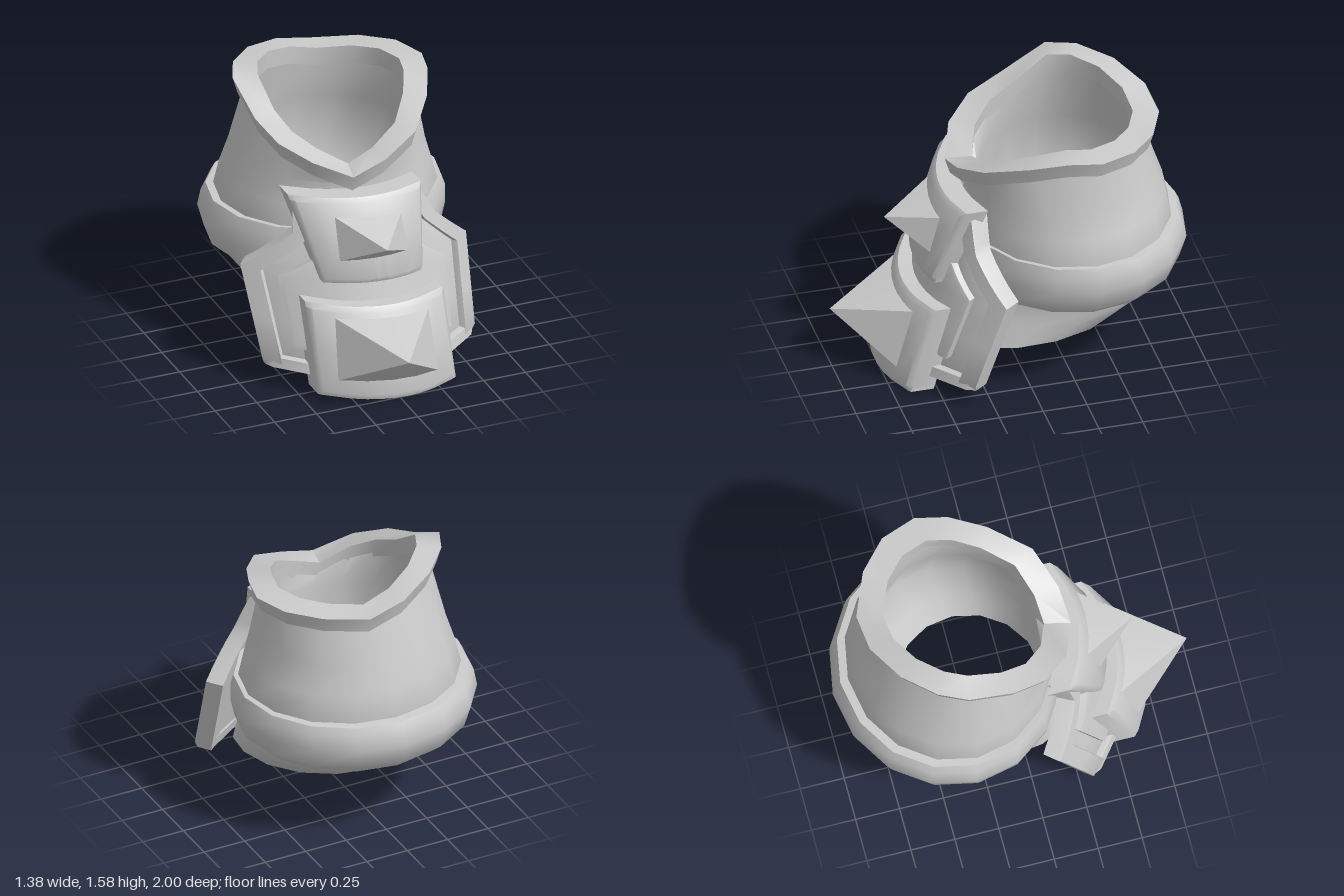
import * as THREE from 'three';
import { toCreasedNormals } from 'three/addons/utils/BufferGeometryUtils.js';

const material = new THREE.MeshStandardMaterial({ color: 0xcccccc });
const SIDES = 16;

function addMesh(group, name, geometry, crease = 0.7) {
  const mesh = new THREE.Mesh(toCreasedNormals(geometry, crease), material);
  mesh.name = name;
  group.add(mesh);
}

// Skin a list of equal-length closed rings; wrap joins the last ring to the first.
function loft(rings, wrap) {
  const n = rings[0].length, pos = rings.flat(2), index = [];
  const bands = wrap ? rings.length : rings.length - 1;
  for (let i = 0; i < bands; i++) {
    for (let j = 0; j < n; j++) {
      const k = ((i + 1) % rings.length) * n, j2 = (j + 1) % n;
      const a = i * n + j, b = i * n + j2, c = k + j, d = k + j2;
      index.push(a, c, b, b, c, d);
    }
  }
  const g = new THREE.BufferGeometry();
  g.setAttribute('position', new THREE.Float32BufferAttribute(pos, 3));
  g.setIndex(index);
  return g;
}

// Tilted oval ring, starting at the front and running toward +x; droop lowers its front.
function oval(yFront, yBack, zFront, zBack, xLow, xHigh, droop = 0) {
  return Array.from({ length: SIDES }, (_, j) => {
    const t = (j / SIDES) * Math.PI * 2, f = (1 + Math.cos(t)) / 2;
    return [(xLow + xHigh) / 2 + Math.sin(t) * (xHigh - xLow) / 2,
      yBack + (yFront - yBack) * f - droop * f ** 4, zBack + (zFront - zBack) * f];
  });
}

// Top collar outline: x, y, z
const collar = [
  [-0.1, 1.19, 0.33], [0.1, 1.25, 0.31], [0.32, 1.34, 0.22], [0.48, 1.42, 0.0],
  [0.57, 1.475, -0.2], [0.61, 1.475, -0.38], [0.54, 1.475, -0.58], [0.38, 1.465, -0.73],
  [0.14, 1.45, -0.83], [-0.08, 1.5, -0.81], [-0.3, 1.55, -0.69], [-0.46, 1.575, -0.52],
  [-0.53, 1.565, -0.36], [-0.505, 1.43, -0.1], [-0.45, 1.36, 0.1], [-0.31, 1.285, 0.25],
];
const collarRing = (scale, dy) => collar.map(([x, y, z]) =>
  [0.02 + (x - 0.02) * scale, y + dy, -0.26 + (z + 0.26) * scale]);

// Curved, leaning surface that all the front plates follow.
const surface = (x, y, off) => 0.68 + off - 0.31 * y - 0.75 * x * x;

// Curved plate through rows of [y, xLow, xHigh], top to bottom, with a chamfered front edge.
// splay turns the side walls from straight back toward the surface normal.
function plate(rows, off, thick, { tilt = 0, sag = 0, bevel = 0.02, splay = 0 } = {}) {
  const nx = 10, ny = (rows.length - 1) * 4;
  const g = new THREE.BoxGeometry(1, 1, 1, nx, ny, 1), p = g.attributes.position;
  for (let i = 0; i < p.count; i++) {
    const col = Math.round((p.getX(i) + 0.5) * nx), row = Math.round((0.5 - p.getY(i)) * ny);
    let a = col / nx, t = row / 4;
    if (col === 1) a = 0.03;
    if (col === nx - 1) a = 0.97;
    if (row === 1) t = 0.06;
    if (row === ny - 1) t = rows.length - 1.06;
    const r = Math.min(Math.floor(t), rows.length - 2), f = t - r;
    const [y0, l, h] = rows[r].map((v, k) => v + (rows[r + 1][k] - v) * f);
    const x = l + (h - l) * a, y = y0 + tilt * x + sag * x * x;
    const edge = col === 0 || col === nx || row === 0 || row === ny;
    const depth = p.getZ(i) < 0 ? thick : edge ? bevel : 0;
    const n = new THREE.Vector2(splay * x, 1).normalize().multiplyScalar(depth);
    p.setXYZ(i, x - n.x, y, surface(x, y, off) - n.y);
  }
  return g;
}

// Four-sided spike whose base edges hug the curved plate.
function spike(corners, apex, off) {
  const loop = [], steps = 4;
  corners.forEach(([x, y], i) => {
    const [x2, y2] = corners[(i + 1) % 4];
    for (let s = 0; s < steps; s++) {
      const px = x + (x2 - x) * s / steps, py = y + (y2 - y) * s / steps;
      loop.push([px, py, surface(px, py, off)]);
    }
  });
  const pos = [];
  loop.forEach((v, i) => pos.push(...v, ...loop[(i + 1) % loop.length], ...apex));
  const g = new THREE.BufferGeometry();
  g.setAttribute('position', new THREE.Float32BufferAttribute(pos, 3));
  return g;
}

export function createModel() {
  const model = new THREE.Group();
  model.name = 'armourCuff';

  // Flared rim around the top opening
  addMesh(model, 'collar', loft([
    collarRing(1, 0), collarRing(0.95, -0.095), collarRing(0.76, -0.1), collarRing(0.75, 0.01),
  ], true));

  // Hollow sleeve: bulging outer wall down to the lower cuff, then the inner wall back up
  addMesh(model, 'sleeve', loft([
    collarRing(0.85, -0.06),
    oval(1.1, 1.14, 0.21, -0.825, -0.535, 0.555),
    oval(0.96, 0.98, 0.23, -0.88, -0.58, 0.6),
    oval(0.82, 0.84, 0.24, -0.91, -0.61, 0.64),
    oval(0.5, 0.51, 0.24, -0.87, -0.58, 0.6),
    oval(0.42, 0.43, 0.3, -0.77, -0.52, 0.58),
    oval(0.29, 0.37, 0.42, -0.67, -0.47, 0.56, 0.1),
    oval(0.33, 0.41, 0.18, -0.62, -0.37, 0.39),
    oval(0.5, 0.56, 0.17, -0.7, -0.44, 0.46),
    oval(0.75, 0.75, 0.18, -0.82, -0.54, 0.56),
    oval(1.08, 1.14, 0.16, -0.75, -0.47, 0.5),
    collarRing(0.77, -0.05),
  ], false), 0.9);

  // Thick band around the sleeve
  addMesh(model, 'belt', loft([
    oval(0.83, 0.83, 0.2, -0.88, -0.58, 0.6),
    oval(0.84, 0.82, 0.26, -0.955, -0.65, 0.67),
    oval(0.78, 0.78, 0.27, -0.975, -0.675, 0.69),
    oval(0.67, 0.69, 0.28, -1.0, -0.69, 0.69),
    oval(0.57, 0.56, 0.27, -0.96, -0.66, 0.66),
    oval(0.53, 0.5, 0.24, -0.89, -0.6, 0.61),
    oval(0.54, 0.52, 0.18, -0.8, -0.52, 0.52),
  ], true));

  // Recessed backing plate with a raised border and inner panel
  const outline = [[1.03, -0.42, 0.31], [0.85, -0.44, 0.41], [0.61, -0.69, 0.64], [0.09, -0.64, 0.62]];
  const bow = { tilt: -0.02, sag: 0.09, splay: 1.2 };
  addMesh(model, 'backingPlate', plate(
    outline.map(([y, l, h]) => [y, l + 0.03, h - 0.03]), -0.045, 0.055, bow));
  addMesh(model, 'borderRight', plate(outline.map(([y, l]) => [y, l, l + 0.09]), 0, 0.105, bow));
  addMesh(model, 'borderLeft', plate(outline.map(([y, , h]) => [y, h - 0.09, h]), 0, 0.105, bow));
  addMesh(model, 'borderBottom', plate([[0.15, -0.635, 0.615], [0.085, -0.635, 0.615]], 0, 0.105, bow));
  addMesh(model, 'innerPanel', plate(
    [[0.95, -0.25, 0.18], [0.74, -0.33, 0.27], [0.59, -0.53, 0.45], [0.22, -0.49, 0.43]],
    0.0, 0.06, { ...bow, bevel: 0.005 }));

  // Two overlapping front plates, each with a spike
  addMesh(model, 'upperPlate', plate([[1.085, -0.45, 0.31], [0.625, -0.33, 0.25]], 0.06, 0.14,
    { tilt: -0.03, sag: 0.04 }));
  addMesh(model, 'upperSpike', spike(
    [[-0.24, 0.76], [0.16, 0.76], [0.15, 0.97], [-0.24, 1.0]], [-0.05, 0.9, 0.69], 0.055), 0.5);
  addMesh(model, 'lowerPlate', plate([[0.51, -0.44, 0.36], [0.01, -0.43, 0.375]], 0.1, 0.15,
    { tilt: -0.04, sag: 0.1 }));
  addMesh(model, 'lowerSpike', spike(
    [[-0.33, 0.13], [0.25, 0.1], [0.235, 0.44], [-0.31, 0.47]], [-0.05, 0.35, 1.0], 0.095), 0.5);

  return model;
}
